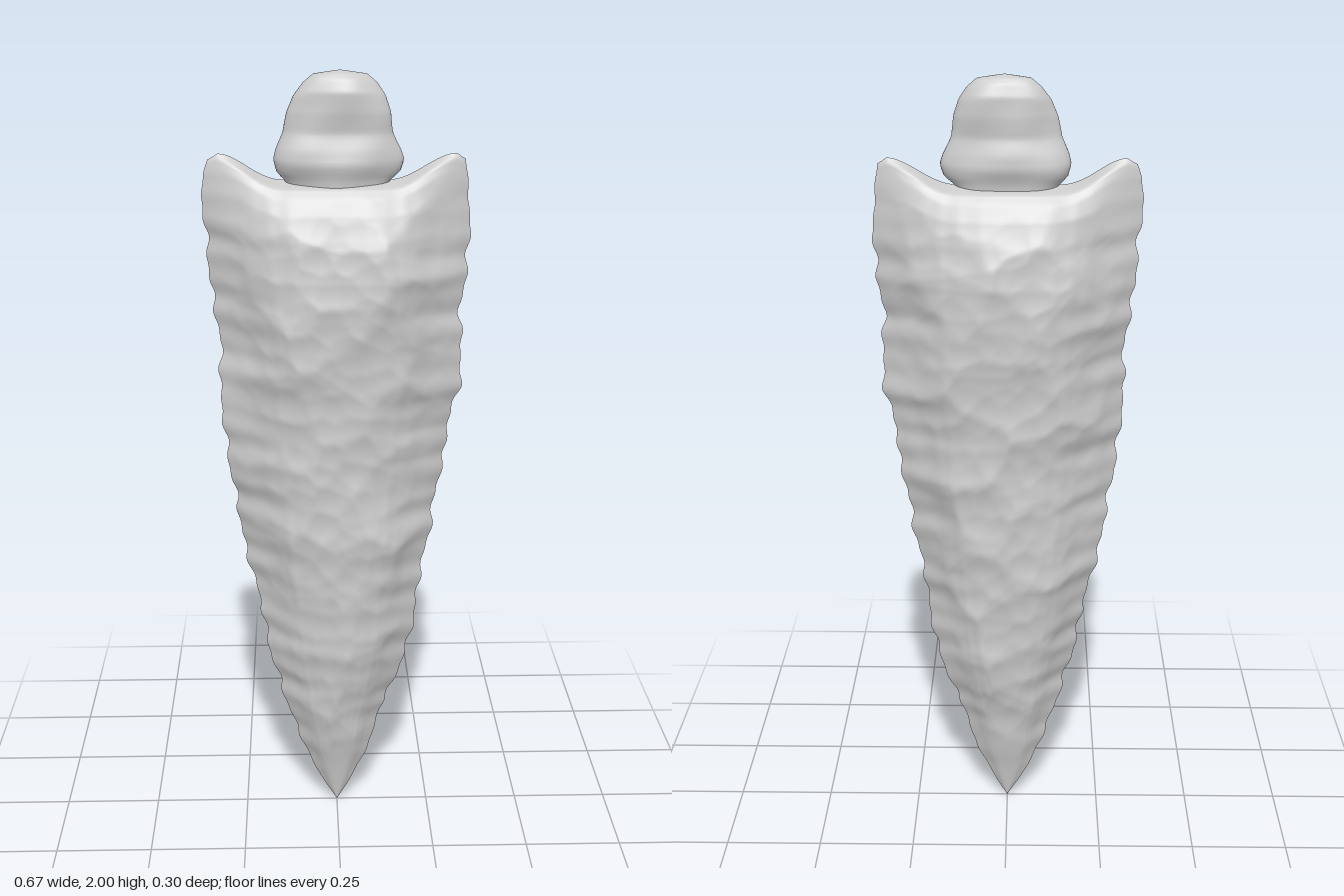
import * as THREE from 'three';

const material = new THREE.MeshStandardMaterial({ color: 0xcccccc, side: THREE.DoubleSide });

// Linear lookup in a list of [position, value] pairs
function lookup(table, t) {
  if (t <= table[0][0]) return table[0][1];
  for (let i = 1; i < table.length; i++) {
    const [a, va] = table[i - 1], [b, vb] = table[i];
    if (t <= b) return va + (vb - va) * (t - a) / (b - a);
  }
  return table[table.length - 1][1];
}

// Repeatable pseudo-random number for a grid cell
function hash(i, j, seed) {
  const s = Math.sin(i * 127.1 + j * 311.7 + seed * 74.7) * 43758.5453;
  return s - Math.floor(s);
}

// Flake scars: scooped cells with ridges where neighbours meet (0 floor .. 1 ridge)
function flakes(x, y, size, seed) {
  const cx = Math.floor(x / size), cy = Math.floor(y / size);
  let best = 9;
  for (let i = cx - 1; i <= cx + 1; i++) for (let j = cy - 1; j <= cy + 1; j++) {
    const dx = x / size - i - hash(i, j, seed), dy = y / size - j - hash(i, j, seed + 9);
    best = Math.min(best, dx * dx + dy * dy);
  }
  return Math.min(best, 1);
}

// Smooth surface from a grid of points given by position(column, row)
function sheet(cols, rows, position, flip) {
  const points = [], index = [];
  for (let j = 0; j <= rows; j++) for (let i = 0; i <= cols; i++) points.push(...position(i / cols, j / rows));
  for (let j = 0; j < rows; j++) for (let i = 0; i < cols; i++) {
    const a = j * (cols + 1) + i, b = a + 1, c = a + cols + 1, d = c + 1;
    if (flip) index.push(a, c, b, b, c, d);
    else index.push(a, b, c, b, d, c);
  }
  const geometry = new THREE.BufferGeometry();
  geometry.setAttribute('position', new THREE.Float32BufferAttribute(points, 3));
  geometry.setIndex(index);
  geometry.computeVertexNormals();
  return geometry;
}

// Blade outline: half widths by height on each side
const leftEdge = [[0, 0], [0.05, 0.03], [0.1, 0.055], [0.2, 0.1], [0.28, 0.115], [0.36, 0.155], [0.5, 0.198],
  [0.6, 0.212], [0.7, 0.222], [0.8, 0.245], [0.93, 0.26], [1, 0.28], [1.1, 0.285], [1.2, 0.315], [1.3, 0.318],
  [1.4, 0.31], [1.5, 0.325], [1.6, 0.332], [1.7, 0.328], [1.8, 0.315]];
const rightEdge = [[0, 0], [0.1, 0.06], [0.2, 0.1], [0.3, 0.135], [0.4, 0.162], [0.48, 0.185], [0.6, 0.202],
  [0.7, 0.228], [0.8, 0.25], [0.9, 0.262], [1, 0.28], [1.2, 0.3], [1.3, 0.293], [1.4, 0.306], [1.48, 0.318],
  [1.6, 0.325], [1.7, 0.335], [1.75, 0.33], [1.8, 0.312]];
// Half thickness by height, and its fall-off towards the cutting edge
const thickness = [[0, 0.003], [0.1, 0.022], [0.2, 0.045], [0.4, 0.083], [0.6, 0.104], [0.8, 0.118], [1, 0.118],
  [1.2, 0.128], [1.4, 0.144], [1.5, 0.142], [1.6, 0.122], [1.66, 0.102], [1.7, 0.08], [1.722, 0.06], [1.735, 0]];
const bevel = [[0, 1], [0.2, 0.99], [0.35, 0.94], [0.5, 0.83], [0.62, 0.66], [0.75, 0.42], [0.88, 0.2], [1, 0]];

function bladeFace(side) {
  return sheet(64, 190, (s, t) => {
    const u = s * 2 - 1, a = Math.abs(u);
    const v = 1 - Math.pow(1 - t, 1.3);
    const h = 1.735 * v;
    // Shoulders rise to barbs beside the stem
    const lift = 0.065 * THREE.MathUtils.smoothstep(a, 0.4, 0.95) - 0.015 * THREE.MathUtils.smoothstep(a, 0.93, 1);
    const y = h + lift * THREE.MathUtils.smoothstep(v, 0.85, 1);
    const chip = 0.004 * Math.sin(y * 47 + u) + 0.003 * Math.sin(y * 83 + 2 * u);
    const fade = Math.min(1, h / 0.3) * Math.min(1, (1.735 - h) / 0.15);
    const x = u * (lookup(u > 0 ? leftEdge : rightEdge, y) + chip * fade);
    const body = lookup(thickness, h) * lookup(bevel, a);
    const seed = side > 0 ? 1 : 5;
    const scar = 0.022 * (flakes(x, y * 0.8, 0.13, seed) - 0.22) + 0.007 * (flakes(x, y, 0.06, seed + 2) - 0.2);
    const z = body + scar * fade * Math.min(1, body / 0.06);
    // Slightly wavy cutting edge shared by both faces
    const wave = 0.006 * Math.sin(y * 9 + u * 2) * a * fade;
    return [x, y, side * Math.max(z, 0) + wave];
  }, side < 0);
}

// Stem rings: half width and half depth by height
const stemWidth = [[1.68, 0.11], [1.735, 0.13], [1.755, 0.152], [1.785, 0.161], [1.81, 0.154], [1.85, 0.135],
  [1.9, 0.127], [1.94, 0.112], [1.97, 0.09], [1.99, 0.066], [2, 0]];
const stemDepth = [[1.68, 0.045], [1.74, 0.05], [1.775, 0.062], [1.81, 0.057], [1.85, 0.045], [1.9, 0.05],
  [1.95, 0.05], [1.98, 0.038], [1.993, 0.025], [2, 0]];

function stemSurface() {
  return sheet(48, 44, (s, t) => {
    const angle = s * Math.PI * 2, y = 1.68 + 0.32 * (1 - Math.pow(1 - t, 1.6));
    const c = Math.cos(angle), n = Math.sin(angle);
    const rough = 1 + 0.04 * Math.sin(3 * angle + y * 22) + 0.03 * Math.sin(5 * angle - y * 31);
    const lean = 0.012 * THREE.MathUtils.smoothstep(y, 1.8, 1.92);
    return [c * lookup(stemWidth, y) * (1 + (rough - 1) * 0.4) + lean * 0.6,
      y, -n * lookup(stemDepth, y) * rough + 0.004];
  });
}

export function createModel() {
  const group = new THREE.Group();
  group.name = 'stonePoint';
  const add = (name, geometry) => {
    const mesh = new THREE.Mesh(geometry, material);
    mesh.name = name;
    group.add(mesh);
  };
  add('bladeFront', bladeFace(1));
  add('bladeBack', bladeFace(-1));
  add('stem', stemSurface());
  return group;
}
